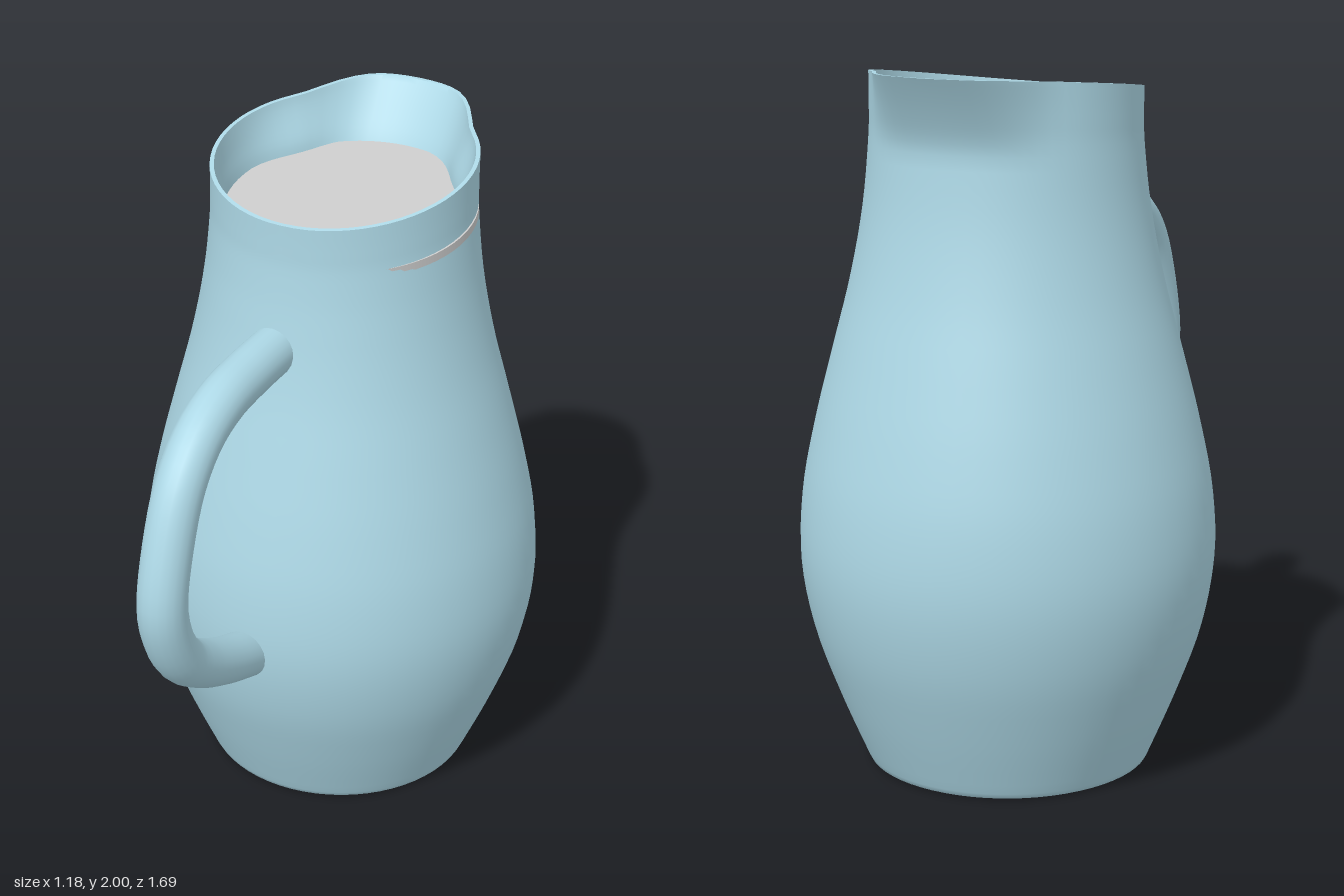
import * as THREE from 'three';
import { mergeVertices, toCreasedNormals } from 'three/addons/utils/BufferGeometryUtils.js';

const CX = -0.005, CZ = -0.254; // axis of the body
const clamp = THREE.MathUtils.clamp;
const smoothstep = THREE.MathUtils.smoothstep;

// Height of the slanted rim at depth z
function rimY(z) {
  const u = clamp((0.12 - z) / 0.85, 0, 1);
  return 1.895 + 0.105 * (1.45 * u - 0.45 * u * u);
}

function spline(points, n) {
  return new THREE.SplineCurve(points.map(([r, y]) => new THREE.Vector2(r, y))).getPoints(n);
}

// Revolved wall, then slanted at the rim and pulled out into a spout
function bodyGeometry() {
  const outer = spline([[0.41, 0.02], [0.485, 0.2], [0.555, 0.4], [0.589, 0.6], [0.58, 0.8], [0.541, 1.0],
    [0.49, 1.2], [0.438, 1.4], [0.4, 1.6], [0.381, 1.8], [0.378, 1.9], [0.378, 2.0]], 48);
  const inner = spline([[0.366, 2.0], [0.355, 1.92], [0.342, 1.84], [0.337, 1.75], [0.355, 1.6], [0.395, 1.4],
    [0.495, 1.0], [0.542, 0.6], [0.44, 0.2], [0.38, 0.06]], 40);
  const profile = [new THREE.Vector2(0, 0), new THREE.Vector2(0.39, 0), new THREE.Vector2(0.403, 0.006),
    ...outer, ...inner, new THREE.Vector2(0, 0.06)];
  const lathe = new THREE.LatheGeometry(profile, 64);
  const pos = lathe.attributes.position;
  const firstInner = 3 + outer.length;
  for (let i = 0; i < pos.count; i++) {
    let x = pos.getX(i), y = pos.getY(i), z = pos.getZ(i);
    const r = Math.hypot(x, z);
    const back = r > 0.01 ? -z / r : 0;
    // The inside of the neck narrows a little on both sides of the spout
    if (i % profile.length >= firstInner && y > 1.5) {
      const a = Math.acos(clamp(back, -1, 1));
      const pinch = 1 - 0.08 * Math.exp(-(((a - 0.9) / 0.35) ** 2)) * smoothstep(y, 1.5, 1.75) * (1 - smoothstep(y, 1.85, 2));
      x *= pinch;
      z *= pinch;
    }
    z += CZ;
    z -= 0.105 * smoothstep(back, 0.66, 0.97) * clamp((y - 1.79) / 0.21, 0, 1) ** 1.3;
    if (y > 1.6) y = 1.6 + (y - 1.6) / 0.4 * (rimY(z) - 1.6);
    pos.setXYZ(i, x + CX, y, z);
  }
  lathe.deleteAttribute('uv');
  lathe.deleteAttribute('normal');
  return toCreasedNormals(mergeVertices(lathe, 1e-5), 0.9);
}

export function createModel() {
  const group = new THREE.Group();
  const blue = new THREE.MeshStandardMaterial({ color: 0xadd8e6, side: THREE.DoubleSide });
  const grey = new THREE.MeshStandardMaterial({ color: 0xcccccc });

  const add = (name, geometry, material) => {
    const mesh = new THREE.Mesh(geometry, material);
    mesh.name = name;
    group.add(mesh);
    return mesh;
  };

  add('pitcherBody', bodyGeometry(), blue);

  // Curved handle with its ends sunk into the wall
  const path = [[0.09, 1.517], [0.3, 1.517], [0.44, 1.505], [0.56, 1.46], [0.66, 1.37], [0.73, 1.23],
    [0.776, 1.04], [0.75, 0.92], [0.69, 0.82], [0.6, 0.745], [0.47, 0.67], [0.3, 0.595]];
  const curve = new THREE.CatmullRomCurve3(path.map(([z, y]) => new THREE.Vector3(-0.022, y, z)));
  add('handle', new THREE.TubeGeometry(curve, 40, 0.07, 20), blue);

  // Thin tilted disc inside the neck, just breaking through the wall on one side
  const disc = add('fillSurface', new THREE.CylinderGeometry(0.361, 0.361, 0.024, 64), grey);
  disc.position.set(0.018, 1.793, -0.25);
  disc.rotation.x = 0.1;
  return group;
}
